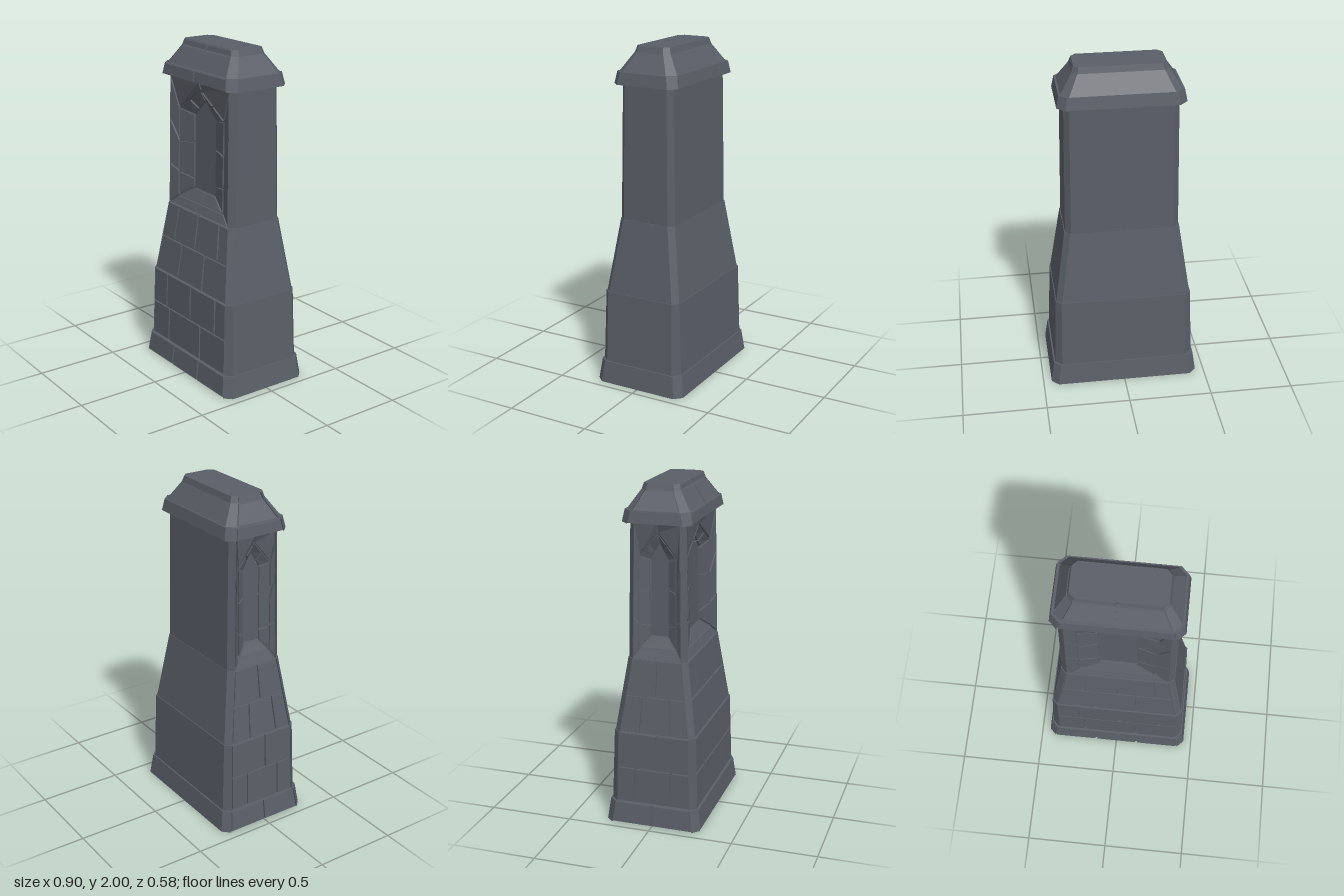
import * as THREE from 'three';

const stoneGrey = new THREE.MeshStandardMaterial({ color: 0x5a5e67, flatShading: true });
stoneGrey.name = 'stoneGrey';

const GAP = 0.006;   // half the width of a joint
const DEEP = 0.012;  // depth of a joint

// Each tier: bottom and top as [y, half width, half depth, corner chamfer]
const tiers = {
  plinth: [[0, 0.45, 0.288, 0.042], [0.13, 0.432, 0.271, 0.04]],
  lowerBody: [[0.13, 0.423, 0.262, 0.04], [0.565, 0.408, 0.247, 0.033]],
  taperedBody: [[0.565, 0.403, 0.242, 0.033], [1.0, 0.34, 0.18, 0.032]],
  upperBody: [[1.0, 0.335, 0.178, 0.032], [1.79, 0.325, 0.164, 0.03]],
  capRim: [[1.79, 0.365, 0.205, 0.045], [1.86, 0.352, 0.192, 0.045]],
  capSlope: [[1.86, 0.34, 0.184, 0.045], [1.965, 0.272, 0.114, 0.03]],
  capTop: [[1.965, 0.272, 0.114, 0.03], [2.0, 0.26, 0.104, 0.028]],
};

// Rows of stones per tier: [bottom, top, front joints, side joints] (joints as fractions of half width)
const rows = {
  plinth: [[0, 0.13, [-0.33, 0.33], [0]]],
  lowerBody: [[0.13, 0.347, [-0.54, 0.33], [-0.5, 0.5]], [0.347, 0.565, [-0.62, 0.05, 0.72], [0.1]]],
  taperedBody: [[0.565, 0.785, [-0.35, 0.34], [-0.4, 0.5]], [0.785, 1.0, [-0.62, 0.03, 0.71], [0.05]]],
  capRim: [[1.79, 1.86, [0], []]],
  capSlope: [[1.86, 1.965, [0], []]],
  capTop: [[1.965, 2.0, [0], []]],
};

function meshFrom(name, polys) {
  const pos = [];
  for (const p of polys)
    for (let i = 1; i < p.length - 1; i++) pos.push(...p[0], ...p[i], ...p[i + 1]);
  const g = new THREE.BufferGeometry();
  g.setAttribute('position', new THREE.Float32BufferAttribute(pos, 3));
  g.computeVertexNormals();
  const m = new THREE.Mesh(g, stoneGrey);
  m.name = name;
  return m;
}

// Chamfered rectangle, counter-clockwise from above; edge 0 is the front, edge 6 the -x side
function ring([y, x, z, c]) {
  return [[-x + c, z], [x - c, z], [x, z - c], [x, -z + c], [x - c, -z], [-x + c, -z], [-x, -z + c], [-x, z - c]]
    .map(([a, b]) => [a, y, b]);
}

function band(lower, upper, skip = []) {
  const a = ring(lower), b = ring(upper), out = [];
  for (let i = 0; i < 8; i++) {
    const j = (i + 1) % 8;
    if (!skip.includes(i)) out.push([a[i], a[j], b[j], b[i]]);
  }
  return out;
}

// A stone-clad face of a tier: half width at y, and a map from (across, y, depth) to space
function cladding(tier, side) {
  const [a, b] = tier;
  const at = (k, y) => a[k] + (b[k] - a[k]) * (y - a[0]) / (b[0] - a[0]);
  return {
    half: y => at(side ? 2 : 1, y) - at(3, y),
    map: ([u, y, d]) => side ? [-(at(1, y) - d), y, u] : [u, y, at(2, y) - d],
  };
}

// Moves every edge of a convex outline inward by g
function inset(pts, g) {
  const n = pts.length;
  const lines = pts.map((p, i) => {
    const q = pts[(i + 1) % n], l = Math.hypot(q[0] - p[0], q[1] - p[1]);
    const nx = -(q[1] - p[1]) / l, ny = (q[0] - p[0]) / l;
    return [nx, ny, nx * p[0] + ny * p[1] + g];
  });
  return pts.map((p, i) => {
    const [a, b, c] = lines[(i + n - 1) % n], [d, e, f] = lines[i], det = a * e - b * d;
    return [(c * e - b * f) / det, (a * f - c * d) / det, p[2]];
  });
}

// One stone: joint floor behind, raised block in front
function stone(face, pts, out) {
  const sink = p => [p[0], p[1], p[2] + DEEP];
  const top = inset(pts, GAP);
  out.push(pts.map(p => face.map(sink(p))), top.map(face.map));
  top.forEach((p, i) => {
    const q = top[(i + 1) % top.length];
    out.push([sink(p), sink(q), q, p].map(face.map));
  });
}

// Narrow walls closing the joints along the corner chamfers
function edges(face, tier, out) {
  const [y0, y1] = [tier[0][0], tier[1][0]], h0 = face.half(y0), h1 = face.half(y1);
  out.push([[-h0, y0, 0], [-h0, y0, DEEP], [-h1, y1, DEEP], [-h1, y1, 0]].map(face.map));
  out.push([[h0, y0, DEEP], [h0, y0, 0], [h1, y1, 0], [h1, y1, DEEP]].map(face.map));
}

function courses(face, list, side, out) {
  for (const [y0, y1, front, flank] of list) {
    const cuts = [-1, ...(side ? flank : front), 1];
    const a = face.half(y0), b = face.half(y1);
    for (let i = 0; i < cuts.length - 1; i++) {
      const [l, r] = [cuts[i], cuts[i + 1]];
      stone(face, [[l * a, y0, 0], [r * a, y0, 0], [r * b, y1, 0], [l * b, y1, 0]], out);
    }
  }
}

// Pointed-arch niche: rim R, arch A and back panel P, as [across, y, depth]
function niche(face, out) {
  const k = face.half(1) / 0.303;
  const fit = (list, d) => list.map(([u, y]) => [u * k, y, d]);
  const R = [1, 1.25, 1.53, 1.79].map(y => [face.half(y), y, 0]);
  const T = [0, 1.79, 0];
  const A = fit([[0.225, 1.06], [0.225, 1.21], [0.225, 1.4], [0.225, 1.6], [0.11, 1.669], [0, 1.735]], 0.018);
  const P = fit([[0.105, 1.13], [0.105, 1.19], [0.105, 1.41], [0.105, 1.575], [0.06, 1.616], [0, 1.67]], 0.046);
  const flip = ([u, y, d]) => [-u, y, d];
  const half = [[R[3], T, A[5], A[3]]];
  for (let i = 0; i < 3; i++) half.push([R[i], R[i + 1], A[i + 1], A[i]]);
  for (let i = 0; i < 5; i++) half.push([A[i], A[i + 1], P[i + 1], P[i]]);
  for (const s of half) {
    stone(face, s, out);
    stone(face, s.map(flip).reverse(), out);
  }
  stone(face, [flip(R[0]), R[0], A[0], flip(A[0])], out);
  stone(face, [flip(A[0]), A[0], P[0], flip(P[0])], out);
  out.push([flip(P[0]), P[0], P[3], P[5], flip(P[3])].map(([u, y, d]) => face.map([u, y, d + DEEP])));
}

export function createModel() {
  const model = new THREE.Group();
  model.name = 'stonePillar';
  for (const [name, tier] of Object.entries(tiers)) {
    const part = new THREE.Group();
    part.name = name;

    // Plain sides with closed ends
    const shell = band(tier[0], tier[1], [0, 6]);
    shell.push(ring(tier[1]));
    if (name === 'plinth') {
      // Hollow underside
      const lip = [0, 0.442, 0.28, 0.04], floor = [0.12, 0.42, 0.26, 0.04];
      shell.push(...band(lip, tier[0]), ...band(floor, lip), ring(floor).reverse());
    } else shell.push(ring(tier[0]).reverse());
    part.add(meshFrom(name + 'Shell', shell));

    // Stonework on the front and the -x side
    for (const side of [false, true]) {
      const face = cladding(tier, side), out = [];
      edges(face, tier, out);
      if (rows[name]) courses(face, rows[name], side, out);
      else niche(face, out);
      part.add(meshFrom(name + (side ? 'SideStones' : 'FrontStones'), out));
    }
    model.add(part);
  }
  return model;
}
